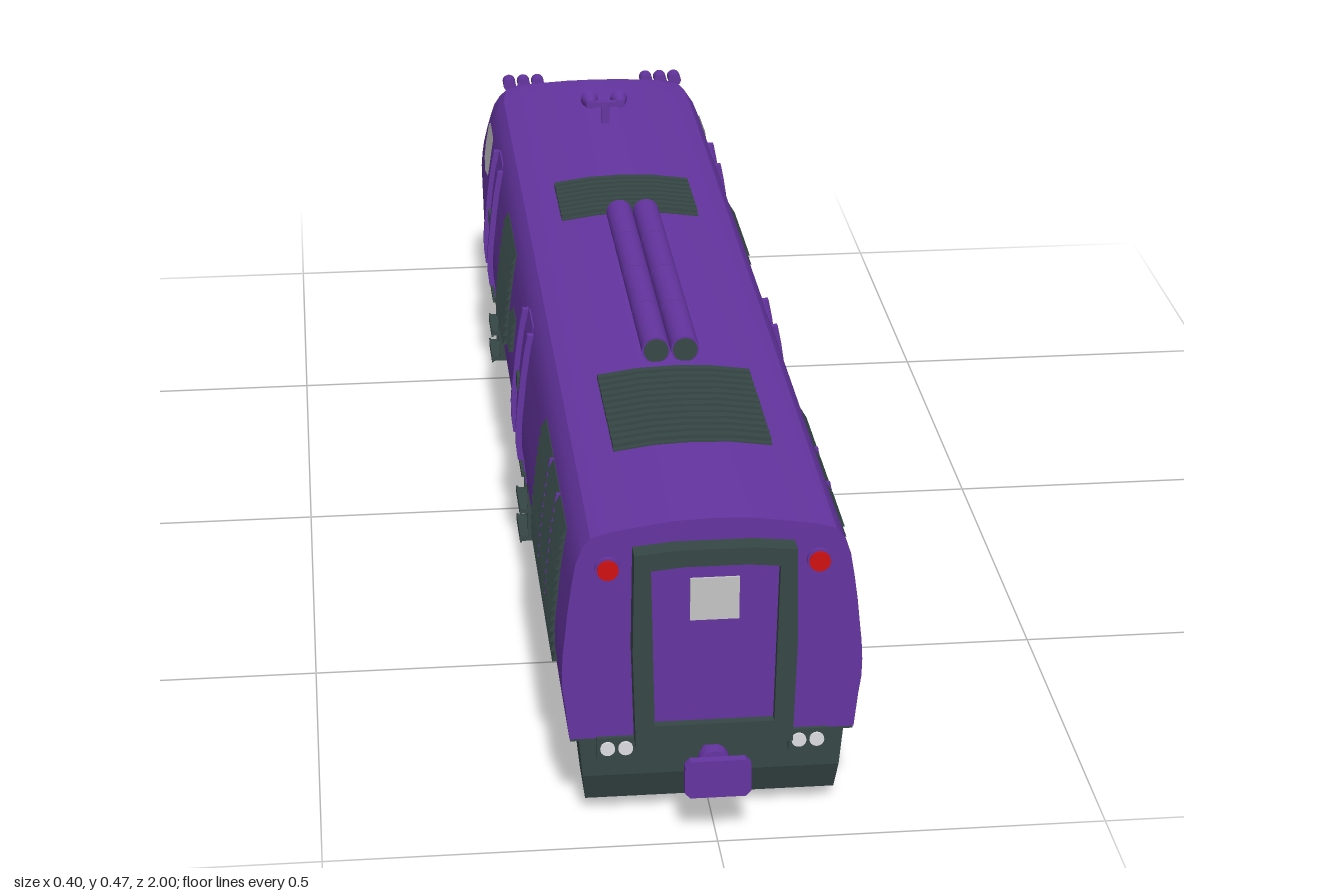
import * as THREE from 'three';
import { toCreasedNormals } from 'three/addons/utils/BufferGeometryUtils.js';

const mat = (name, color, side = THREE.FrontSide) => {
  const m = new THREE.MeshStandardMaterial({ color, side });
  m.name = name;
  return m;
};
const lerpTable = (t, v) => {
  for (let i = 1; i < t.length; i++) {
    const [a, p] = t[i - 1], [b, q] = t[i];
    if (v <= b) return p + (q - p) * Math.max(0, (v - a) / (b - a));
  }
  return t[t.length - 1][1];
};

// Half cross-section of the body as [x, y], sill to roof centre
const PROFILE = [[0.182, 0.118], [0.187, 0.165], [0.1905, 0.19], [0.191, 0.214], [0.1895, 0.24], [0.187, 0.262], [0.183, 0.3],
  [0.178, 0.335], [0.173, 0.364], [0.164, 0.387], [0.154, 0.4], [0.13, 0.407], [0.1, 0.412], [0.05, 0.419], [0, 0.421]];
// Nose reach by height
const NOSE = [[0.118, 0.925], [0.165, 0.96], [0.214, 0.963], [0.262, 0.947], [0.4, 0.813], [0.413, 0.79], [0.421, 0.775]];
const sideX = y => lerpTable(PROFILE.map(([x, h]) => [h, x]), y);
const roofY = x => lerpTable([...PROFILE].reverse(), Math.abs(x));

export function createModel() {
  const root = new THREE.Group();
  root.name = 'locomotive';
  const purple = mat('purple paint', 0x6434a0);
  const dark = mat('dark grey green', 0x364746);
  const glass = mat('pale glass', 0xc4c4c4, THREE.DoubleSide);
  const lamp = mat('white lamp', 0xdcdce2);
  const red = mat('red lamp', 0xd01010);

  const add = (name, geo, m, x = 0, y = 0, z = 0, parent = root) => {
    const mesh = new THREE.Mesh(geo, m);
    mesh.name = name;
    mesh.position.set(x, y, z);
    parent.add(mesh);
    return mesh;
  };
  const box = (name, m, w, h, d, x, y, z, parent) => add(name, new THREE.BoxGeometry(w, h, d), m, x, y, z, parent);
  const disc = (name, m, r, d, x, y, z, parent) =>
    add(name, new THREE.CylinderGeometry(r, r, d, 20).rotateX(Math.PI / 2), m, x, y, z, parent);
  const shapeOf = pts => new THREE.Shape(pts.map(p => new THREE.Vector2(p[0], p[1])));
  const extrude = (name, m, pts, z0, z1, parent) =>
    add(name, new THREE.ExtrudeGeometry(shapeOf(pts), { depth: z1 - z0, bevelEnabled: false }), m, 0, 0, z0, parent);
  // Block with a smaller bottom: half widths and z ranges at top and bottom
  const frustum = (name, m, y0, y1, xb, xt, zb, zt) => {
    const g = new THREE.BoxGeometry(2, 1, 2), p = g.attributes.position;
    for (let i = 0; i < p.count; i++) {
      const top = p.getY(i) > 0, zr = top ? zt : zb;
      p.setXYZ(i, p.getX(i) * (top ? xt : xb), top ? y1 : y0, p.getZ(i) > 0 ? zr[1] : zr[0]);
    }
    g.computeVertexNormals();
    return add(name, g, m);
  };

  // Body shell: cross-sections joined along z, with a raked and narrowed nose
  const ring = [...PROFILE, ...PROFILE.slice(0, -1).reverse().map(([x, y]) => [-x, y])];
  const n = PROFILE.length, m = ring.length, pos = [], idx = [];
  const stations = [[1, () => 0.93], [1, () => -0.74],
    [0.955, y => 0.02 - lerpTable(NOSE, y)], [0.9, y => -lerpTable(NOSE, y)]];
  for (const [s, z] of stations) for (const [x, y] of ring) pos.push(x * s, y, z(y));
  for (let j = 0; j < 3; j++) for (let i = 0; i < m - 1; i++) {
    const a = j * m + i, b = a + 1, c = a + m, d = c + 1;
    idx.push(a, c, b, b, c, d);
  }
  for (let i = 0; i < n - 1; i++) for (const [o, flip] of [[0, true], [3 * m, false]]) {
    const r = o + i, l = o + m - 1 - i, t = [r, l, r + 1];
    if (i < n - 2) t.push(r + 1, l, l - 1);
    idx.push(...(flip ? t.reverse() : t));
  }
  const shell = new THREE.BufferGeometry();
  shell.setAttribute('position', new THREE.Float32BufferAttribute(pos, 3));
  shell.setIndex(idx);
  add('bodyShell', toCreasedNormals(shell, 0.45), purple);

  // Underframe, tank and end skirts
  const floor = shapeOf([[-0.181, -0.93], [0.181, -0.93], [0.181, 0.74], [0.164, 0.924], [-0.164, 0.924], [-0.181, 0.74]]);
  add('underframe', new THREE.ExtrudeGeometry(floor, { depth: 0.004, bevelEnabled: false }).rotateX(-Math.PI / 2), dark, 0, 0.115, 0);
  frustum('tank', purple, 0.02, 0.118, 0.163, 0.18, [-0.294, 0.31], [-0.33, 0.353]);
  box('tankBottom', dark, 0.324, 0.004, 0.602, 0, 0.019, 0.008);
  frustum('rearSkirtUpper', dark, 0.06, 0.118, 0.165, 0.17, [0.815, 0.924], [0.8, 0.925]);
  frustum('rearSkirtLower', dark, 0.02, 0.06, 0.161, 0.165, [0.83, 0.91], [0.815, 0.924]);
  frustum('noseSkirt', dark, 0.025, 0.118, 0.155, 0.165, [-0.92, -0.823], [-0.925, -0.79]);
  box('noseBlade', dark, 0.3, 0.03, 0.028, 0, 0.015, -0.91);

  // Couplers at both ends
  for (const [s, y] of [[1, 0.09], [-1, 0.12]]) {
    disc('couplerShaft', purple, 0.013, 0.1, 0, y, s * 0.94);
    disc('couplerCollar', purple, 0.02, 0.02, 0, y, s * 0.955);
    const c = 0.007, w = 0.042, h = 0.026;
    const plate = [[-w, -h + c], [-w + c, -h], [w - c, -h], [w, -h + c], [w, h - c], [w - c, h], [-w + c, h], [-w, h - c]];
    extrude('couplerPlate', purple, plate.map(p => [p[0], p[1] + y]), s > 0 ? 0.988 : -1, s > 0 ? 1 : -0.988);
  }

  // Curved strip on a body side, from y0 to y1, standing out by t
  const sideStrip = (name, mt, s, y0, y1, z0, z1, t) => {
    const pts = [];
    for (let k = 0; k <= 8; k++) { const y = y0 + (y1 - y0) * k / 8; pts.push([s * (sideX(y) + t), y]); }
    pts.push([s * (sideX(y1) - 0.01), y1], [s * (sideX(y0) - 0.01), y0]);
    extrude(name, mt, pts, z0, z1);
  };
  // Sawtooth slats on a body side
  const sideLouvre = (s, y0, y1, z0, z1, count) => {
    const pts = [], h = (y1 - y0) / count;
    for (let k = 0; k < count; k++) {
      const y = y0 + k * h;
      pts.push([s * (sideX(y) + 0.007), y], [s * (sideX(y + h) + 0.001), y + h * 0.97]);
    }
    pts.push([s * (sideX(y1) - 0.01), y1], [s * (sideX(y0) - 0.01), y0]);
    extrude('sideLouvre', dark, pts, z0, z1);
  };

  for (const s of [1, -1]) {
    for (const z of [0.472, 0.605, 0.714]) sideLouvre(s, 0.17, 0.36, z, z + (z < 0.5 ? 0.126 : 0.102), 13);
    for (const z of [0.6, 0.709]) sideStrip('louvrePost', purple, s, 0.17, 0.36, z, z + 0.004, 0.006);
    sideLouvre(s, 0.215, 0.362, -0.318, -0.132, 10);
    sideLouvre(s, 0.25, 0.3, -0.077, -0.02, 4);

    // Doors with handrails, handles and boarding steps
    for (const [zc, zh, zl] of [[0.143, 0.122, 0.142], [-0.538, -0.55, -0.535]]) {
      sideStrip('door', purple, s, 0.125, 0.372, zc - 0.036, zc + 0.036, 0.002);
      for (const e of [-1, 1]) {
        sideStrip('handrail', purple, s, 0.172, 0.367, zc + e * 0.05 - 0.005, zc + e * 0.05 + 0.005, 0.009);
        box('stepStringer', dark, 0.011, 0.11, 0.008, s * 0.177, 0.088, zl + e * 0.034);
      }
      box('doorHandle', dark, 0.008, 0.022, 0.026, s * (sideX(0.265) + 0.002), 0.265, zh);
      for (const y of [0.036, 0.081]) {
        box('step', dark, 0.024, 0.007, 0.076, s * 0.181, y, zl);
        box('stepLip', dark, 0.003, 0.012, 0.076, s * 0.193, y, zl);
      }
      box('topStep', dark, 0.01, 0.008, 0.076, s * 0.186, 0.14, zl);
    }

    // Cab side window
    const win = new THREE.ShapeGeometry(shapeOf([[-0.668, 0.36], [-0.75, 0.36], [-0.785, 0.343], [-0.804, 0.305], [-0.798, 0.282], [-0.73, 0.282], [-0.668, 0.294]]));
    const p = win.attributes.position;
    for (let i = 0; i < p.count; i++) {
      const z = p.getX(i), y = p.getY(i);
      p.setXYZ(i, s * (sideX(y) * (1 - 0.3 * Math.max(0, -0.74 - z)) + 0.003), y, z);
    }
    win.computeVertexNormals();
    add('cabSideWindow', win, glass);
  }

  // Roof louvres, pipes and horns
  const roofStrip = (z0, z1, t) => {
    const xs = [-0.104, -0.1, -0.05, 0, 0.05, 0.1, 0.104];
    const pts = xs.map(x => [x, roofY(x) + t]);
    extrude('roofLouvre', dark, [[-0.104, 0.4], [0.104, 0.4], ...pts.reverse()], z0, z1);
  };
  for (const [z0, z1, count] of [[-0.29, -0.14, 8], [0.465, 0.702, 12]]) {
    roofStrip(z0, z1, 0.002);
    const h = (z1 - z0) / count;
    for (let k = 0; k < count; k++) roofStrip(z0 + k * h, z0 + (k + 0.6) * h, 0.007);
  }
  for (const s of [1, -1]) {
    for (let k = 0; k < 4; k++) disc('roofPipe', purple, 0.0195, 0.132, s * 0.02, 0.436, -0.04 + k * 0.135);
    disc('roofPipeCore', dark, 0.017, 0.541, s * 0.02, 0.436, 0.162);
    const horn = new THREE.CylinderGeometry(0.014, 0.007, 0.03, 16).rotateX(-Math.PI / 2);
    add('horn', horn, purple, s * 0.024, 0.453, -0.567);
  }
  box('hornPost', purple, 0.012, 0.035, 0.012, 0, 0.434, -0.556);
  box('hornBar', purple, 0.06, 0.008, 0.01, 0, 0.453, -0.556);

  // Flat end: gangway frame, door and lamps
  const frame = shapeOf([[-0.1, 0.116], [0.1, 0.116], [0.104, 0.25], [0.102, 0.386], [0.05, 0.391], [-0.05, 0.391], [-0.102, 0.386], [-0.104, 0.25]]);
  const doorPts = [[-0.076, 0.146], [0.076, 0.146], [0.081, 0.364], [0.04, 0.368], [-0.04, 0.368], [-0.081, 0.364]];
  frame.holes.push(new THREE.Path(doorPts.map(q => new THREE.Vector2(...q))));
  add('gangwayFrame', new THREE.ExtrudeGeometry(frame, { depth: 0.029, bevelEnabled: false }), dark, 0, 0, 0.928);
  extrude('endDoor', purple, doorPts, 0.928, 0.945);
  box('endDoorWindow', glass, 0.062, 0.058, 0.004, 0, 0.318, 0.946);
  for (const s of [1, -1]) {
    disc('tailLampRim', purple, 0.016, 0.008, s * 0.133, 0.358, 0.932);
    disc('tailLamp', red, 0.0135, 0.012, s * 0.133, 0.358, 0.933);
    box('endLampBox', dark, 0.05, 0.03, 0.02, s * 0.123, 0.105, 0.925);
    for (const x of [0.111, 0.134]) disc('endLamp', lamp, 0.0095, 0.008, s * x, 0.105, 0.934);
  }

  // Raked cab front: windscreens, panels and centre lamps
  const rake = new THREE.Group();
  rake.name = 'cabFront';
  rake.position.set(0, 0.331, -0.88);
  rake.rotation.set(0.771, Math.PI, 0);
  root.add(rake);
  for (const s of [1, -1]) {
    extrude('windscreen', glass, [[s * 0.008, -0.04], [s * 0.148, -0.04], [s * 0.132, 0.055], [s * 0.008, 0.055]], 0, 0.004, rake);
    box('nosePanelRim', dark, 0.074, 0.036, 0.012, s * 0.107, -0.074, 0.002, rake);
    box('nosePanel', purple, 0.066, 0.028, 0.022, s * 0.107, -0.074, 0.002, rake);
    disc('centreLamp', lamp, 0.012, 0.02, s * 0.015, -0.076, 0.004, rake);
    // Roof marker lamps
    for (const [x, mt] of [[0.092, red], [0.116, purple], [0.14, red]]) {
      disc('markerHousing', purple, 0.0105, 0.026, s * x, 0.407, -0.812);
      disc('markerLamp', mt, 0.0085, 0.006, s * x, 0.407, -0.826);
    }
    // Nose lamps
    disc('noseLampRim', dark, 0.015, 0.014, s * 0.148, 0.2, -0.96);
    disc('noseLamp', lamp, 0.011, 0.018, s * 0.148, 0.2, -0.96);
    box('noseLampBox', dark, 0.052, 0.028, 0.03, s * 0.115, 0.148, -0.948);
    for (const x of [0.103, 0.127]) disc('noseSmallLamp', lamp, 0.0095, 0.008, s * x, 0.148, -0.962);
  }
  box('centreLampBox', dark, 0.06, 0.03, 0.014, 0, -0.076, 0, rake);
  return root;
}
